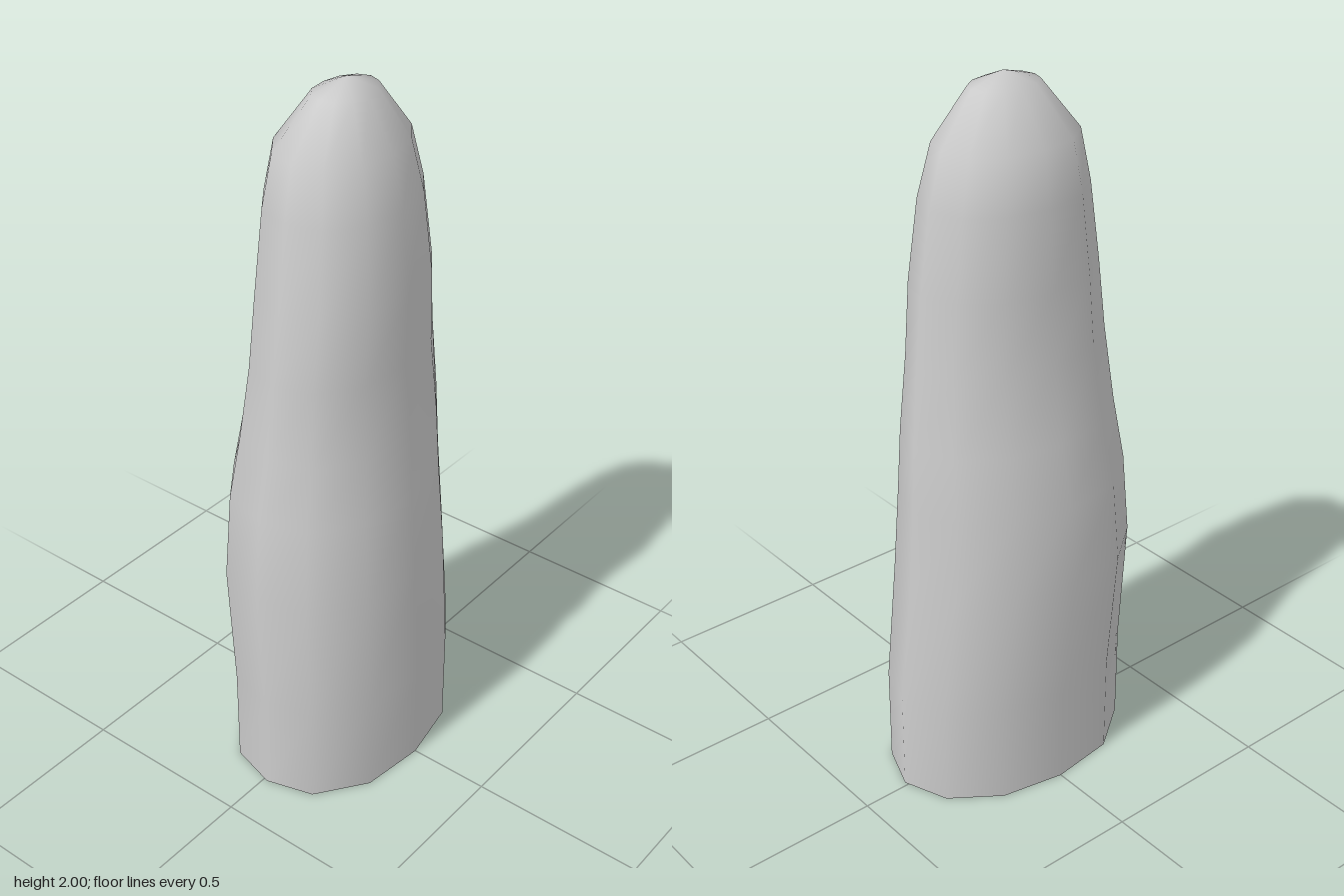
import * as THREE from 'three';

const SIDES = 12;

// Cross-sections from base to tip: height, right x, left x, back z, front z
const SECTIONS = [
  [0.00, -0.36, 0.36, -0.245, 0.268],
  [0.29, -0.36, 0.36, -0.245, 0.268],
  [0.65, -0.365, 0.328, -0.265, 0.265],
  [0.89, -0.338, 0.318, -0.255, 0.24],
  [1.07, -0.31, 0.305, -0.225, 0.225],
  [1.28, -0.288, 0.282, -0.19, 0.206],
  [1.48, -0.265, 0.26, -0.182, 0.21],
  [1.70, -0.228, 0.235, -0.172, 0.183],
  [1.84, -0.2, 0.196, -0.145, 0.155],
  [1.97, -0.1, 0.097, -0.058, 0.078],
];
const TIP = [0, 2, 0.01];

// Twelve-sided oval tube, open at the base and closed by a rounded tip
function fingerGeometry() {
  const positions = [];
  const index = [];
  for (const [y, x0, x1, z0, z1] of SECTIONS) {
    const cx = (x0 + x1) / 2, rx = (x1 - x0) / 2;
    const cz = (z0 + z1) / 2, rz = (z1 - z0) / 2;
    for (let j = 0; j < SIDES; j++) {
      const a = (j / SIDES) * Math.PI * 2;
      const c = Math.cos(a), s = Math.sin(a);
      // slightly fuller on the right side
      const full = 1 + 0.06 * Math.max(0, -c * Math.abs(s) * 2);
      positions.push(cx + c * rx * (c < 0 ? 1 + (full - 1) * 0.6 : 1), y, cz + s * rz * full);
    }
  }
  positions.push(...TIP);
  const tip = SECTIONS.length * SIDES;
  for (let i = 0; i < SECTIONS.length; i++) {
    for (let j = 0; j < SIDES; j++) {
      const a = i * SIDES + j;
      const b = i * SIDES + ((j + 1) % SIDES);
      if (i === SECTIONS.length - 1) index.push(a, tip, b);
      else index.push(a, a + SIDES, b, b, a + SIDES, b + SIDES);
    }
  }
  const geometry = new THREE.BufferGeometry();
  geometry.setAttribute('position', new THREE.Float32BufferAttribute(positions, 3));
  geometry.setIndex(index);
  geometry.computeVertexNormals();
  return geometry;
}

export function createModel() {
  const group = new THREE.Group();
  group.name = 'fingerCover';
  const material = new THREE.MeshStandardMaterial({ color: 0xcccccc, side: THREE.DoubleSide });
  const shell = new THREE.Mesh(fingerGeometry(), material);
  shell.name = 'shell';
  group.add(shell);
  return group;
}
